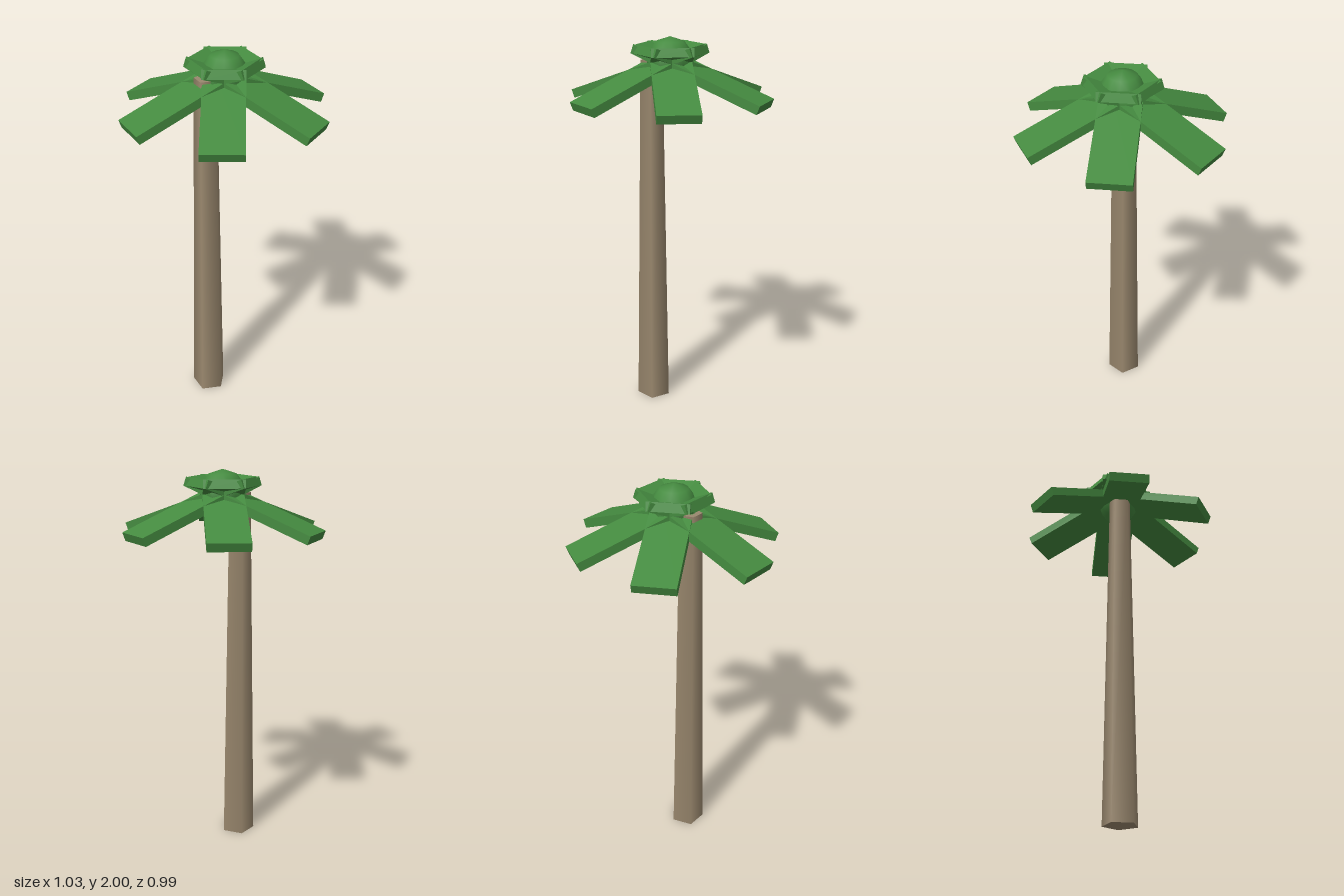
import * as THREE from 'three';

export function createModel() {
  const tree = new THREE.Group();
  tree.name = 'palmTree';

  const bark = new THREE.MeshStandardMaterial({ color: 0x9a886e });
  bark.name = 'bark brown';
  const leaf = new THREE.MeshStandardMaterial({ color: 0x458b40 });
  leaf.name = 'leaf green';

  // Tapered five-sided trunk, set off to one side of the crown
  const trunkHeight = 1.88;
  const trunk = new THREE.Mesh(
    new THREE.CylinderGeometry(0.0587, 0.0915, trunkHeight, 5, 1, false, Math.PI / 2),
    bark
  );
  trunk.name = 'trunk';
  trunk.position.set(-0.1, trunkHeight / 2, 0);
  tree.add(trunk);

  // Rounded heart of the crown
  const heart = new THREE.Mesh(new THREE.SphereGeometry(0.12, 12, 5), leaf);
  heart.name = 'crownHeart';
  heart.position.y = 1.88;
  tree.add(heart);

  // Six drooping slabs whose inner ends cross the centre and form a raised rim
  const frondGeometry = new THREE.BoxGeometry(0.707, 0.045, 0.207);
  frondGeometry.rotateZ(-0.3565);
  frondGeometry.translate(0.1736, 1.817, 0);
  for (let i = 0; i < 6; i++) {
    const frond = new THREE.Mesh(frondGeometry, leaf);
    frond.name = `frond${i + 1}`;
    frond.rotation.y = (i * Math.PI) / 3;
    tree.add(frond);
  }

  return tree;
}
